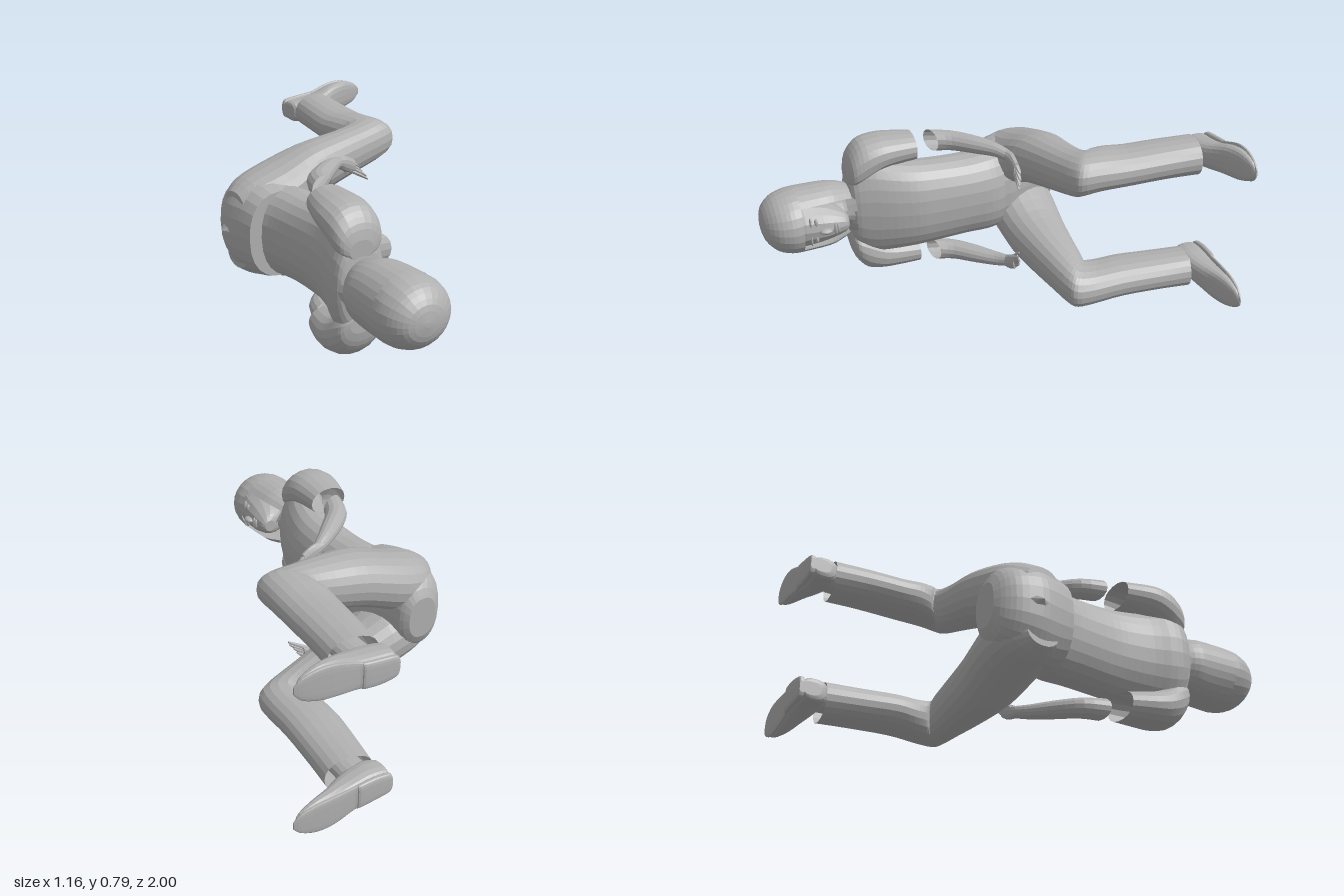
import * as THREE from 'three';

const grey = new THREE.MeshStandardMaterial({ color: 0xb0b0b0, side: THREE.DoubleSide });
grey.name = 'plain grey';
const MID = 0.4; // height of the mirror plane; the figure lies on its side

// Each section is [ax, az, bx, bz, h0, h1]: its two ends in the x-z plane, then its
// sideways range from the mirror plane. Sections are smoothed, then skinned with flat facets.
function loft(sections, { side = 1, seg = 18, steps = 3, capA = true, capB = true, arc = 0, square = 1 } = {}) {
  const n = sections.length - 1, rings = [];
  const spline = (a, b, c, d, t) =>
    b + 0.5 * t * (c - a + t * (2 * a - 5 * b + 4 * c - d + t * (3 * (b - c) + d - a)));
  const at = (i) => sections[Math.max(0, Math.min(n, i))];
  for (let i = 0; i <= n * steps; i++) {
    const k = Math.min(n - 1, Math.floor(i / steps)), t = i / steps - k;
    rings.push(sections[0].map((_, j) => spline(at(k - 1)[j], at(k)[j], at(k + 1)[j], at(k + 2)[j], t)));
  }
  const bend = (v) => Math.sign(v) * Math.abs(v) ** square;
  const pos = [], idx = [], w = seg + 1;
  for (const [ax, az, bx, bz, h0, h1] of rings) {
    for (let j = 0; j <= seg; j++) {
      const a = arc + (j / seg) * (2 * Math.PI - 2 * arc);
      const c = bend(Math.cos(a)) / 2, s = bend(Math.sin(a)) / 2;
      pos.push((ax + bx) / 2 + c * (ax - bx), MID + side * ((h0 + h1) / 2 + s * (h1 - h0)), (az + bz) / 2 + c * (az - bz));
    }
  }
  for (let i = 0; i < rings.length - 1; i++) {
    for (let j = 0; j < seg; j++) {
      const p = i * w + j;
      idx.push(p, p + 1, p + w, p + 1, p + w + 1, p + w);
    }
  }
  const cap = (row, flip) => {
    const [ax, az, bx, bz, h0, h1] = rings[row], c = pos.length / 3;
    pos.push((ax + bx) / 2, MID + side * (h0 + h1) / 2, (az + bz) / 2);
    for (let j = 0; j < seg; j++) {
      const p = row * w + j;
      if (flip) idx.push(c, p + 1, p); else idx.push(c, p, p + 1);
    }
  };
  if (capA) cap(0, true);
  if (capB) cap(rings.length - 1, false);
  // Turn the faces outward whichever way the sections run
  const P = (i) => new THREE.Vector3().fromArray(pos, i * 3);
  const centre = new THREE.Vector3();
  for (let i = 0; i < pos.length / 3; i++) centre.addScaledVector(P(i), 3 / pos.length);
  let volume = 0;
  for (let i = 0; i < idx.length; i += 3) {
    const [a, b, c] = [0, 1, 2].map((k) => P(idx[i + k]).sub(centre));
    volume += a.dot(b.cross(c));
  }
  if (volume < 0) idx.reverse();
  const g = new THREE.BufferGeometry();
  g.setAttribute('position', new THREE.Float32BufferAttribute(pos, 3));
  g.setIndex(idx);
  const flat = g.toNonIndexed();
  flat.computeVertexNormals();
  return flat;
}

// Section across the body: z, front x, back x, sideways range
const level = (z, front, back, h1, h0 = -h1) => [front, z, back, z, h0, h1];
// Section of the shoe: x, top z, bottom z, sideways range
const slice = (x, top, bottom, h0, h1) => [x, top, x, bottom, h0, h1];

export function createModel() {
  const model = new THREE.Group();
  const add = (name, geometry, parent = model) => {
    const mesh = new THREE.Mesh(geometry, grey);
    mesh.name = name;
    parent.add(mesh);
    return mesh;
  };
  const blob = (name, x, h, z, rx, ry, rz) => {
    const mesh = add(name, new THREE.SphereGeometry(1, 12, 8));
    mesh.position.set(x, MID + h, z);
    mesh.scale.set(rx, ry, rz);
  };

  // Shirt and neck
  add('torso', loft([
    level(0.59, -0.31, -0.46, 0.1), level(0.57, -0.27, -0.49, 0.2), level(0.5, -0.235, -0.495, 0.24),
    level(0.4, -0.195, -0.46, 0.227), level(0.3, -0.17, -0.44, 0.215), level(0.2, -0.165, -0.435, 0.207),
    level(0.05, -0.165, -0.447, 0.2), level(-0.06, -0.17, -0.465, 0.205), level(-0.13, -0.19, -0.49, 0.205),
  ], { seg: 24, square: 0.9 }));
  add('neck', loft([level(0.7, -0.29, -0.44, 0.06), level(0.62, -0.29, -0.44, 0.06), level(0.56, -0.27, -0.46, 0.085)]));
  add('collar', loft([level(0.61, -0.27, -0.47, 0.085), level(0.57, -0.245, -0.49, 0.12)], { capA: false, capB: false, arc: 0.3 }));

  // Head and face
  add('head', loft([
    level(0.62, -0.215, -0.27, 0.03), level(0.64, -0.2, -0.33, 0.055), level(0.7, -0.19, -0.42, 0.088),
    level(0.76, -0.19, -0.45, 0.105), level(0.85, -0.2, -0.46, 0.115), level(0.93, -0.25, -0.42, 0.08),
  ]));
  blob('nose', -0.185, 0, 0.735, 0.022, 0.013, 0.03);
  blob('upperLip', -0.19, 0, 0.69, 0.01, 0.03, 0.008);
  blob('lowerLip', -0.193, 0, 0.677, 0.01, 0.025, 0.008);
  for (const s of [1, -1]) {
    blob('eye', -0.203, s * 0.042, 0.775, 0.01, 0.02, 0.008);
    blob('brow', -0.203, s * 0.045, 0.8, 0.01, 0.026, 0.005);
  }

  // Hair: a full crown, then a curtain open around the face
  add('hairCrown', loft([
    level(1, -0.35, -0.37, 0.01), level(0.985, -0.27, -0.44, 0.075), level(0.94, -0.21, -0.485, 0.125),
    level(0.88, -0.187, -0.505, 0.147), level(0.83, -0.192, -0.505, 0.153),
  ], { seg: 24, capB: false }));
  add('hairCurtain', loft([
    level(0.835, -0.192, -0.505, 0.153), level(0.7, -0.21, -0.5, 0.152),
    level(0.63, -0.24, -0.495, 0.137), level(0.57, -0.275, -0.465, 0.115),
  ], { seg: 22, capA: false, capB: false, arc: 0.75 }));

  // Seat of the trousers, drawn back between the thighs
  add('pelvis', loft([
    level(-0.09, -0.2, -0.532, 0.2), level(-0.17, -0.215, -0.55, 0.22), level(-0.26, -0.25, -0.562, 0.215),
    level(-0.35, -0.28, -0.545, 0.19), level(-0.41, -0.3, -0.51, 0.16), level(-0.443, -0.33, -0.47, 0.1),
  ], { seg: 24, square: 0.85 }));
  const seam = add('seatSeam', new THREE.ConeGeometry(0.045, 0.05, 6));
  seam.rotation.z = Math.PI / 2;
  seam.scale.z = 2;
  seam.position.set(-0.557, MID, -0.27);

  for (const side of [1, -1]) {
    const word = side > 0 ? 'upper' : 'lower';
    const leg = new THREE.Group(), arm = new THREE.Group();
    leg.name = word + 'Leg';
    arm.name = word + 'Arm';
    model.add(leg, arm);

    // Trouser leg bent at the knee, open at the cuff
    add('trouserLeg', loft([
      [-0.52, -0.16, -0.53, -0.32, 0.05, 0.18], [-0.45, -0.11, -0.46, -0.4, 0.01, 0.222],
      [-0.3, -0.105, -0.34, -0.425, 0, 0.268],
      [-0.15, -0.13, -0.14, -0.412, 0.075, 0.325], [0, -0.165, 0.02, -0.4, 0.12, 0.347],
      [0.16, -0.203, 0.11, -0.397, 0.155, 0.362], [0.29, -0.235, 0.13, -0.4, 0.18, 0.376],
      [0.335, -0.265, 0.115, -0.42, 0.195, 0.379], [0.342, -0.35, 0.105, -0.48, 0.205, 0.376],
      [0.342, -0.5, 0.105, -0.56, 0.205, 0.366], [0.35, -0.7, 0.12, -0.7, 0.21, 0.37],
      [0.36, -0.84, 0.145, -0.87, 0.21, 0.375],
    ], { side, seg: 20, square: 0.9, capB: false }), leg);
    add('ankle', loft([level(-0.75, 0.31, 0.18, 0.335, 0.24), level(-0.9, 0.31, 0.17, 0.335, 0.24)], { side }), leg);

    // Shoe upper, then a flat sole that steps down at the heel and lifts at the toe
    add('shoe', loft([
      slice(0.135, -0.9, -0.98, 0.26, 0.32), slice(0.15, -0.865, -0.985, 0.238, 0.338),
      slice(0.22, -0.85, -0.985, 0.23, 0.345), slice(0.31, -0.865, -0.985, 0.24, 0.36),
      slice(0.4, -0.9, -0.984, 0.248, 0.388), slice(0.48, -0.926, -0.982, 0.255, 0.393),
      slice(0.55, -0.946, -0.976, 0.28, 0.37), slice(0.575, -0.962, -0.97, 0.31, 0.34),
    ], { side, square: 0.75 }), leg);
    add('sole', loft([
      slice(0.135, -0.97, -0.995, 0.265, 0.315), slice(0.15, -0.97, -0.999, 0.24, 0.336),
      slice(0.22, -0.97, -1, 0.23, 0.346), slice(0.29, -0.97, -0.998, 0.236, 0.354),
      slice(0.31, -0.97, -0.988, 0.24, 0.36), slice(0.4, -0.97, -0.989, 0.246, 0.39),
      slice(0.48, -0.966, -0.986, 0.253, 0.395), slice(0.55, -0.962, -0.978, 0.276, 0.373),
      slice(0.582, -0.963, -0.97, 0.31, 0.342),
    ], { side, square: 0.55 }), leg);

    // Shoulder and short sleeve, open at its end
    add('sleeve', loft([
      level(0.586, -0.33, -0.44, 0.2, 0.12), level(0.568, -0.28, -0.475, 0.265, 0.11),
      level(0.52, -0.265, -0.492, 0.322, 0.12), level(0.45, -0.262, -0.495, 0.338, 0.165),
      level(0.38, -0.265, -0.485, 0.338, 0.19), level(0.27, -0.268, -0.45, 0.332, 0.207),
    ], { side, square: 0.92, capB: false }), arm);

    // Forearm, starting free of the sleeve, and hand
    add('forearm', loft([
      [-0.27, 0.17, -0.385, 0.205, 0.24, 0.34], [-0.24, 0.115, -0.345, 0.09, 0.245, 0.335],
      [-0.165, 0.035, -0.26, 0, 0.25, 0.33], [-0.1, -0.035, -0.17, -0.067, 0.255, 0.32],
      [-0.06, -0.07, -0.1, -0.105, 0.25, 0.305],
    ], { side, seg: 14, capA: false }), arm);
    add('palm', loft([
      [-0.06, -0.07, -0.1, -0.105, 0.25, 0.305], [-0.025, -0.08, -0.045, -0.115, 0.225, 0.3],
      [0.015, -0.085, 0.005, -0.115, 0.21, 0.275],
    ], { side, seg: 12 }), arm);
    // Fingers: base x and sideways position, then tip x, sideways position and z
    for (const [x, h, tx, th, tz] of [
      [0.005, 0.22, 0.075, 0.175, -0.085], [0.005, 0.235, 0.07, 0.19, -0.09],
      [0, 0.25, 0.055, 0.21, -0.1], [0, 0.265, 0.04, 0.235, -0.105], [-0.05, 0.25, -0.01, 0.205, -0.125],
    ]) {
      const ring = (px, ph, pz, r) => [px, pz + r, px, pz - r, ph - r, ph + r];
      add('finger', loft([ring(x - 0.02, h + 0.01, -0.1, 0.011), ring((x + tx) / 2, (h + th) / 2, (tz - 0.1) / 2, 0.01),
        ring(tx, th, tz, 0.005)], { side, seg: 7, steps: 2 }), arm);
    }
  }
  return model;
}
